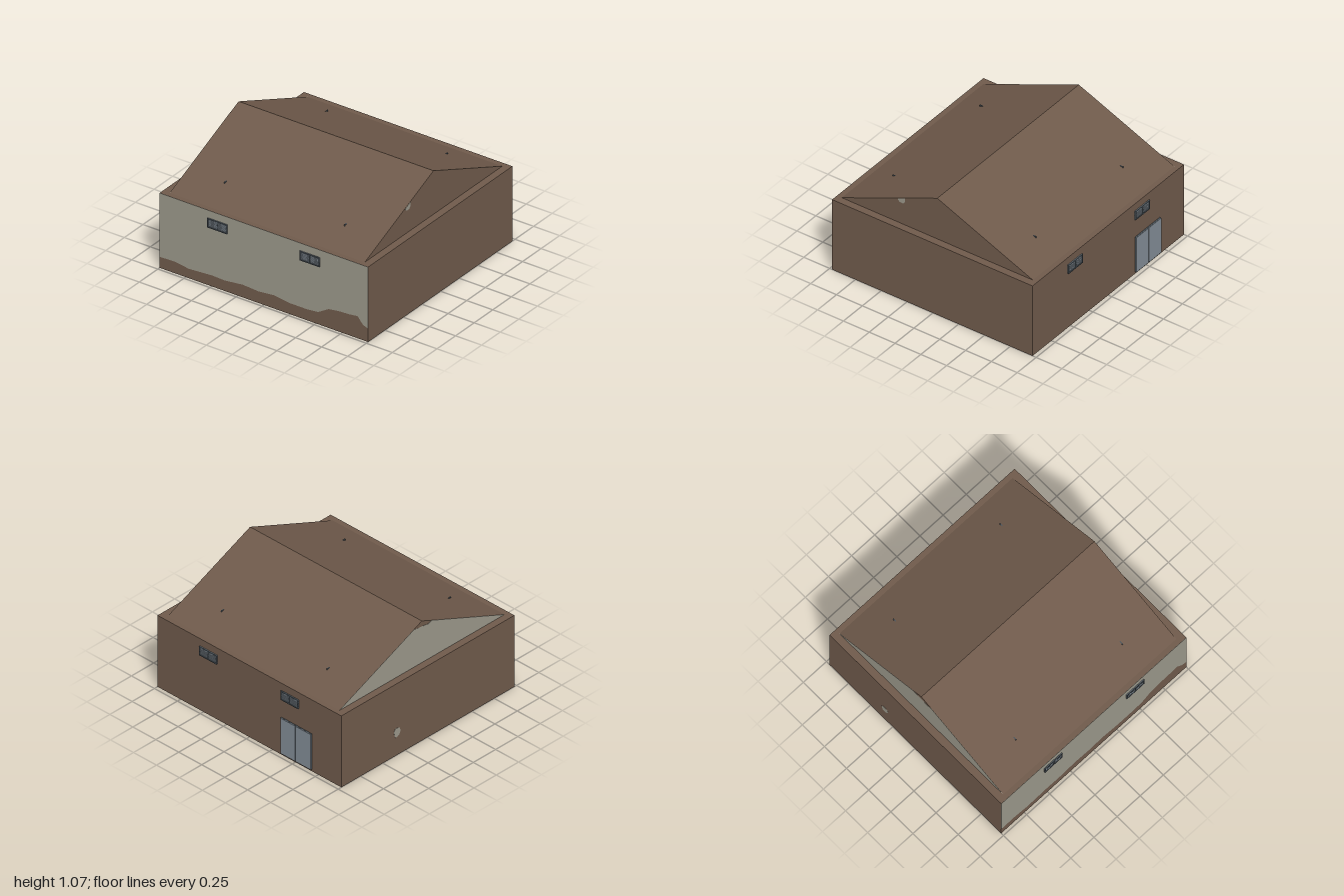
import * as THREE from 'three';

const mat = (name, color, extra = {}) => {
  const m = new THREE.MeshStandardMaterial({ color, ...extra });
  m.name = name;
  return m;
};

export function createModel() {
  const brown = mat('brown wall', 0x6f5a4b);
  const plaster = mat('grey plaster', 0x9a978a);
  const frameGrey = mat('dark frame', 0x4c555c);
  const steel = mat('blue grey steel', 0x828c95);
  const floorDark = mat('dark floor', 0x4a555d);
  const floorLight = mat('worn floor', 0x808a8c);

  const X0 = -0.975, X1 = 0.965, H = 0.675;   // wall extents
  const EAVE = 0.925, CX = -0.005, RIDGE = 1.067, RZ = 0.935; // roof
  const root = new THREE.Group();
  root.name = 'house';

  const add = (parent, name, geo, material, x = 0, y = 0, z = 0) => {
    const m = new THREE.Mesh(geo, material);
    m.name = name;
    m.position.set(x, y, z);
    parent.add(m);
    return m;
  };
  const shapeOf = pts => new THREE.Shape(pts.map(p => new THREE.Vector2(...p)));
  const plate = (pts, depth = 0.0015) =>
    new THREE.ExtrudeGeometry(shapeOf(pts), { depth, bevelEnabled: false });
  const rect = (x0, y0, x1, y1) => [[x0, y0], [x1, y0], [x1, y1], [x0, y1]];
  const blob = (cx, cy, rx, ry, n = 9) => Array.from({ length: n }, (_, i) => {
    const a = i / n * Math.PI * 2, k = 1 + 0.12 * Math.sin(i * 2.3);
    return [cx + rx * k * Math.cos(a), cy + ry * k * Math.sin(a)];
  });

  // Wall block, open in the middle so the floor sits recessed
  const ring = shapeOf(rect(X0, -1, X1, 1));
  ring.holes.push(new THREE.Path(rect(-0.915, -0.93, 0.905, 0.93).map(p => new THREE.Vector2(...p))));
  const walls = new THREE.ExtrudeGeometry(ring, { depth: H, bevelEnabled: false });
  add(root, 'walls', walls.rotateX(Math.PI / 2), brown, 0, H, 0);

  // Gabled roof
  const roof = plate([[CX - EAVE, H], [CX + EAVE, H], [CX, RIDGE]], 2 * RZ);
  add(root, 'roof', roof, brown, 0, 0, -RZ);

  // Roof studs
  for (const sx of [-1, 1]) for (const sz of [-1, 1])
    add(root, 'roofStud', new THREE.BoxGeometry(0.03, 0.014, 0.008), frameGrey,
      CX + sx * 0.68, 0.779, sz * 0.575);

  // Plaster on the left-hand wall, with a ragged lower edge
  const ragged = [[-1, 0.1], [-0.85, 0.105], [-0.72, 0.085], [-0.5, 0.1], [-0.38, 0.095],
    [-0.2, 0.115], [-0.05, 0.105], [0.1, 0.12], [0.25, 0.1], [0.42, 0.1], [0.52, 0.11],
    [0.62, 0.17], [0.72, 0.185], [0.82, 0.19], [0.9, 0.2], [0.95, 0.14], [1, 0.12]];
  add(root, 'sidePlaster', plate([...ragged, [1, H], [-1, H]]).rotateY(-Math.PI / 2), plaster, X0);

  // Back gable plaster (seen from behind, so x is mirrored), bare at the peak
  const slope = x => RIDGE - Math.abs(x) * (RIDGE - H) / EAVE;
  const gable = plate([[-EAVE, H], [EAVE, H], [0.11, slope(0.11)], [0.07, 1.005],
    [0.02, 1.015], [-0.04, 1.02], [-0.09, slope(0.09)]]);
  add(root, 'backGablePlaster', gable.rotateY(Math.PI), plaster, CX, 0, -RZ);

  // Bare patches on the back wall and front gable
  add(root, 'backPatch', plate(blob(-0.34, 0.215, 0.037, 0.045)).rotateY(Math.PI), plaster, 0, 0, -1);
  add(root, 'frontPatch', plate([[-0.385, 0.903], [-0.385, 0.89], [-0.368, 0.877],
    [-0.335, 0.876], [-0.318, 0.895], [-0.316, 0.932]]), plaster, 0, 0, RZ);

  // Louvred windows, built facing +z and turned onto the side walls
  const makeWindow = () => {
    const g = new THREE.Group(), w = 0.19, h = 0.083, t = 0.009;
    g.name = 'window';
    add(g, 'pane', new THREE.BoxGeometry(w, h, 0.004), steel, 0, 0, 0.002);
    for (const s of [-1, 1]) {
      add(g, 'frameRail', new THREE.BoxGeometry(w, t, 0.012), frameGrey, 0, s * (h - t) / 2, 0.006);
      add(g, 'framePost', new THREE.BoxGeometry(t, h, 0.012), frameGrey, s * (w - t) / 2, 0, 0.006);
    }
    add(g, 'mullion', new THREE.BoxGeometry(t, h, 0.012), frameGrey, 0, 0, 0.006);
    for (let i = -2; i <= 2; i++)
      add(g, 'slat', new THREE.BoxGeometry(w - 2 * t, 0.005, 0.007), steel, 0, i * 0.012, 0.0035);
    return g;
  };
  for (const side of [-1, 1]) for (const z of [-0.443, 0.443]) {
    const win = makeWindow();
    win.position.set(side > 0 ? X1 : X0, 0.566, z);
    win.rotation.y = side * Math.PI / 2;
    root.add(win);
  }

  // Double door
  const door = new THREE.Group();
  door.name = 'door';
  add(door, 'doorBacking', new THREE.BoxGeometry(0.33, 0.335, 0.011), frameGrey, 0, 0, 0.0055);
  for (const s of [-1, 1])
    add(door, 'doorLeaf', new THREE.BoxGeometry(0.161, 0.333, 0.015), steel, s * 0.0835, 0, 0.0075);
  door.position.set(X1, 0.187, -0.516);
  door.rotation.y = Math.PI / 2;
  root.add(door);

  // Recessed floor, facing down, with worn areas and a pale front edge
  const under = (name, pts, material, y) =>
    add(root, name, plate(pts).rotateX(Math.PI / 2), material, 0, y, 0);
  under('floor', rect(-0.915, -0.93, 0.905, 0.93), floorDark, 0.02);
  under('floorEdge', rect(-0.905, 0.905, 0.895, 0.92), floorLight, 0.0185);
  under('floorEdge', rect(0.885, -0.92, 0.895, 0.905), floorLight, 0.0185);
  // fractions across the floor, from +x and from the back
  const worn = [[0.22, 0.05], [0.25, 0.2], [0.18, 0.35], [0.17, 0.5], [0.22, 0.69], [0.3, 0.85],
    [0.36, 0.95], [0.63, 0.95], [0.56, 0.8], [0.48, 0.67], [0.42, 0.55], [0.38, 0.46],
    [0.32, 0.36], [0.28, 0.27], [0.34, 0.15], [0.4, 0.04]]
    .map(([a, b]) => [X1 - a * 1.94, -1 + b * 2]);
  under('wornBand', worn, floorLight, 0.0185);
  for (let i = 0; i < 5; i++) for (let j = 0; j < 5; j++) {
    const wob = Math.sin(i * 5.1 + j * 2.7);
    const x = X1 - (0.44 + i * 0.095 + 0.02 * wob) * 1.94;
    const z = -1 + (0.1 + j * 0.09 + 0.02 * Math.cos(i * 3.3 + j)) * 2;
    under('wornSpot', blob(x, z, 0.035 + 0.015 * wob, 0.025 - 0.006 * wob, 7), floorLight, 0.0185);
  }
  return root;
}
